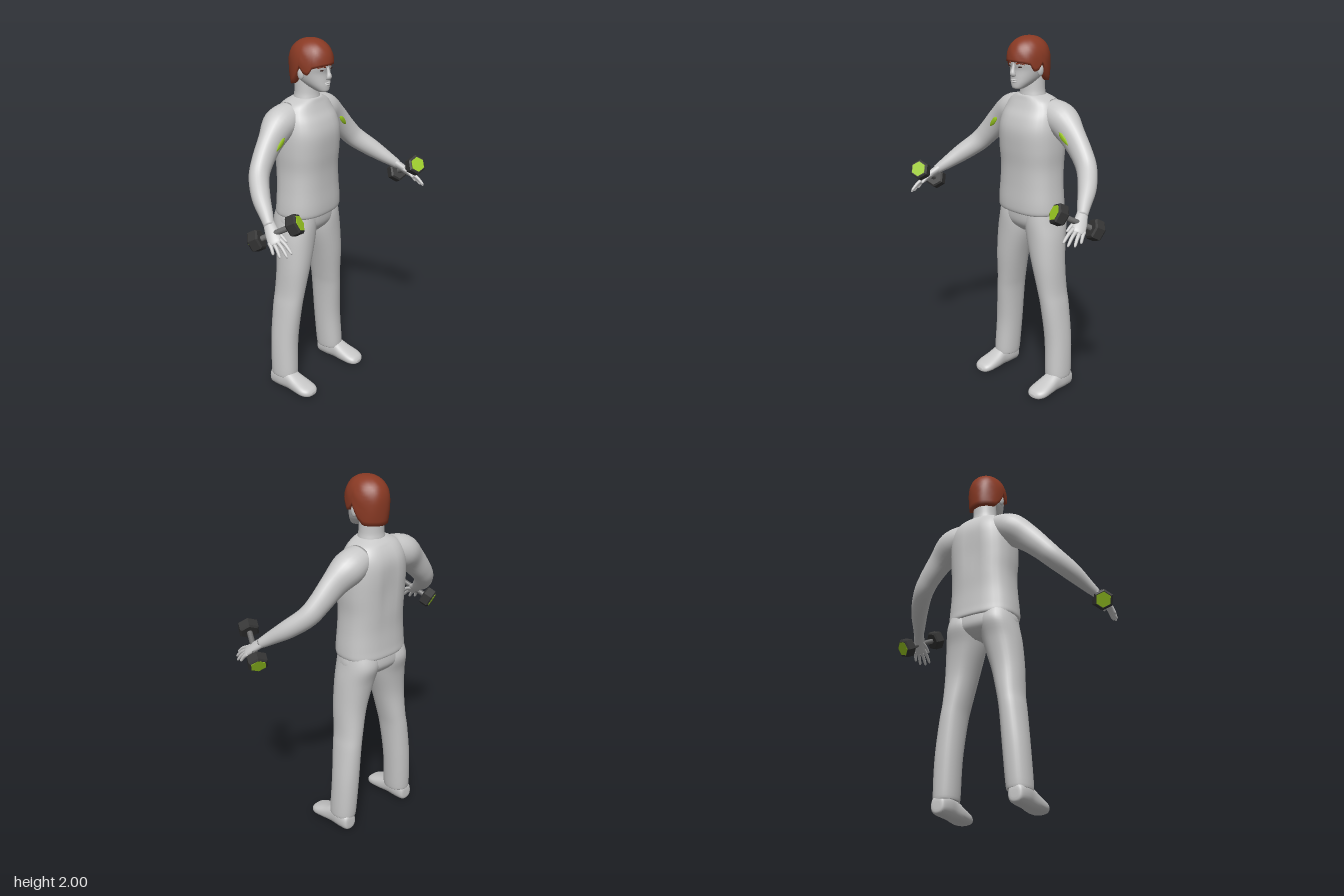
import * as THREE from 'three';

const V = (x, y, z) => new THREE.Vector3(x, y, z);
const paint = (name, color) => {
  const m = new THREE.MeshStandardMaterial({ color });
  m.name = name;
  return m;
};

// Catmull-Rom interpolation of every column in a table of keys
function smooth(keys, steps = 5) {
  const out = [], last = keys.length - 1;
  for (let i = 0; i < last; i++) {
    for (let s = 0; s < steps; s++) {
      const t = s / steps;
      out.push(keys[i].map((b, c) => {
        const a = keys[Math.max(i - 1, 0)][c], d = keys[i + 1][c], e = keys[Math.min(i + 2, last)][c];
        return b + 0.5 * t * (d - a + t * (2 * a - 5 * b + 4 * d - e + t * (3 * (b - d) + e - a)));
      }));
    }
  }
  out.push(keys[last]);
  return out;
}

// Superellipse ring around c with half axes u and v
function ring(c, u, v, power = 2, n = 32) {
  const curve = (w) => Math.sign(w) * Math.pow(Math.abs(w), 2 / power);
  return Array.from({ length: n }, (_, j) => {
    const a = (j / n) * Math.PI * 2;
    return c.clone().addScaledVector(u, curve(Math.cos(a))).addScaledVector(v, curve(Math.sin(a)));
  });
}

// Closed skin over a list of rings
function loft(rings) {
  const n = rings[0].length, m = rings.length, pts = rings.flat(), idx = [];
  for (let i = 0; i < m - 1; i++) {
    for (let j = 0; j < n; j++) {
      const a = i * n + j, b = i * n + ((j + 1) % n);
      idx.push(a, b, b + n, a, b + n, a + n);
    }
  }
  const mid = (r) => r.reduce((s, p) => s.add(p), V(0, 0, 0)).divideScalar(n);
  pts.push(mid(rings[0]), mid(rings[m - 1]));
  for (let j = 0; j < n; j++) {
    const k = (j + 1) % n, top = (m - 1) * n;
    idx.push(m * n, k, j, m * n + 1, top + j, top + k);
  }
  const g = new THREE.BufferGeometry().setFromPoints(pts);
  g.setIndex(idx);
  g.computeVertexNormals();
  return g;
}

// Upright body from keys [y, inner x, outer x, front z, back z]
const upright = (keys, power) => loft(smooth(keys).map(([y, x0, x1, zf, zb]) =>
  ring(V((x0 + x1) / 2, y, (zf + zb) / 2), V(0, 0, (zf - zb) / 2), V((x1 - x0) / 2, 0, 0), power)));
const centred = (keys, power) => upright(keys.map(([y, r, zf, zb]) => [y, -r, r, zf, zb]), power);

// Limb along keys [x, y, z, radius along up, other radius]
function limb(keys, up = V(0.7, 0.7, 0), n = 24) {
  const k = smooth(keys), p = k.map((q) => V(q[0], q[1], q[2]));
  return loft(k.map((q, i) => {
    const t = p[Math.min(i + 1, p.length - 1)].clone().sub(p[Math.max(i - 1, 0)]).normalize();
    const u = up.clone().addScaledVector(t, -up.dot(t)).normalize();
    const v = t.clone().cross(u);
    return ring(p[i], u.multiplyScalar(q[3]), v.multiplyScalar(q[4]), 2, n);
  }));
}

function mirrored(geo) {
  const g = geo.clone().scale(-1, 1, 1);
  const idx = g.index ? Array.from(g.index.array) : Array.from({ length: g.attributes.position.count }, (_, i) => i);
  for (let i = 0; i < idx.length; i += 3) [idx[i], idx[i + 1]] = [idx[i + 1], idx[i]];
  g.setIndex(idx);
  return g;
}

// Hair cap whose lower edge follows a hairline
function hairCap() {
  const line = [[-1, 1.76], [-0.5, 1.765], [-0.25, 1.8], [0, 1.865], [0.22, 1.83], [0.42, 1.825], [0.55, 1.86], [0.8, 1.87], [1, 1.875]];
  const edge = (c) => {
    const i = Math.max(1, line.findIndex((l) => l[0] >= c - 1e-6));
    const [a, b] = [line[i - 1], line[i]];
    return a[1] + (b[1] - a[1]) * (c - a[0]) / (b[0] - a[0]);
  };
  const n = 64, rings = [];
  for (let i = -1; i <= 16; i++) {
    const f = Math.sin((Math.max(i, 0) / 16) * Math.PI / 2);
    rings.push(Array.from({ length: n }, (_, j) => {
      const a = (j / n) * Math.PI * 2, c = Math.cos(a), s = Math.sin(a);
      const y = edge(c) + (1.999 - edge(c)) * f, h = (y - 1.865) / 0.135;
      let q = h > 0 ? Math.pow(Math.max(0, 1 - Math.pow(h, 2.4)), 1 / 2.2) : 1 - Math.pow((1.865 - y) * 2.6, 2);
      q *= i < 0 ? 0.82 : 1 + 0.012 * Math.sin(a * 9 + y * 40) * Math.sin(y * 60 + a * 2);
      return V(0.106 * s * q, y, -0.098 + 0.127 * c * q);
    }));
  }
  return loft(rings);
}

export function createModel() {
  const model = new THREE.Group();
  const grey = paint('light grey', 0xc8c8c8), brown = paint('auburn hair', 0x8a3a24);
  const dark = paint('dark rubber', 0x343434), green = paint('lime green', 0x9ccc22);
  const eyeDark = paint('dark eye', 0x3a2622), steel = paint('grey steel', 0x6a6a6a);
  const add = (name, geo, mat) => {
    const m = new THREE.Mesh(geo, mat);
    m.name = name;
    model.add(m);
  };
  const pair = (name, geo, mat) => {
    add('left' + name, geo, mat);
    add('right' + name, mirrored(geo), mat);
  };
  const blob = (x, y, z, a, b, c) => new THREE.SphereGeometry(1, 20, 14).scale(a, b, c).translate(x, y, z);

  // Sleeveless top with a shallow groove down the spine
  const top = centred([
    [1.04, 0.17, -0.01, -0.25], [1.05, 0.195, 0.01, -0.268], [1.1, 0.196, 0.014, -0.266],
    [1.2, 0.187, 0.01, -0.264], [1.3, 0.182, 0.01, -0.27], [1.4, 0.188, 0.018, -0.276],
    [1.5, 0.188, 0.02, -0.282], [1.57, 0.178, 0.002, -0.28], [1.62, 0.162, -0.026, -0.265],
    [1.66, 0.135, -0.045, -0.238], [1.685, 0.085, -0.055, -0.205], [1.69, 0.07, -0.065, -0.195]], 2.5);
  const pos = top.attributes.position;
  for (let i = 0; i < pos.count; i++) {
    const [x, y, z] = [pos.getX(i), pos.getY(i), pos.getZ(i)];
    if (z < -0.18 && y < 1.66) pos.setZ(i, z + 0.014 * Math.exp(-((x / 0.035) ** 2) - ((y - 1.45) / 0.17) ** 2));
  }
  top.computeVertexNormals();
  add('sleevelessTop', top, grey);

  // Trousers and shoes
  add('hips', centred([[0.93, 0.04, -0.06, -0.2], [0.96, 0.15, -0.03, -0.24], [1.0, 0.197, -0.014, -0.262], [1.07, 0.188, -0.01, -0.258]], 2.3), grey);
  pair('TrouserLeg', upright([
    [0.09, 0.155, 0.268, -0.068, -0.208], [0.1, 0.147, 0.277, -0.06, -0.217], [0.3, 0.132, 0.268, -0.066, -0.226],
    [0.5, 0.113, 0.246, -0.05, -0.226], [0.6, 0.095, 0.232, -0.04, -0.222], [0.75, 0.058, 0.226, -0.024, -0.219],
    [0.9, 0.014, 0.216, -0.017, -0.238], [1.0, 0, 0.2, -0.014, -0.265], [1.07, 0, 0.188, -0.02, -0.25]], 2.2), grey);
  pair('Shoe', loft(smooth([
    [-0.215, 0.222, 0.02, 0.03, 0.07], [-0.205, 0.222, 0.04, 0.006, 0.1], [-0.15, 0.222, 0.05, 0.002, 0.12],
    [-0.09, 0.222, 0.05, 0.002, 0.115], [-0.03, 0.222, 0.057, 0.001, 0.088], [0.03, 0.224, 0.06, 0.001, 0.065],
    [0.065, 0.222, 0.046, 0.004, 0.05], [0.08, 0.22, 0.02, 0.014, 0.032]]).map(([z, x, w, y0, y1]) =>
    ring(V(x, (y0 + y1) / 2, z), V(w, 0, 0), V(0, (y1 - y0) / 2, 0), 2.4))), grey);

  // Neck and head
  add('neck', centred([[1.62, 0.08, -0.055, -0.2], [1.68, 0.075, -0.06, -0.2], [1.72, 0.068, -0.066, -0.195], [1.8, 0.066, -0.07, -0.195]]), grey);
  add('head', centred([
    [1.728, 0.02, -0.004, -0.04], [1.735, 0.034, 0.008, -0.065], [1.76, 0.056, 0.01, -0.12], [1.79, 0.073, 0.008, -0.17],
    [1.83, 0.085, 0.006, -0.2], [1.87, 0.09, 0.014, -0.21], [1.92, 0.09, 0.005, -0.21], [1.97, 0.06, -0.04, -0.16], [1.985, 0.02, -0.08, -0.12]], 2.2), grey);
  add('nose', limb([[0, 1.862, 0.008, 0.006, 0.008], [0, 1.835, 0.014, 0.01, 0.01], [0, 1.812, 0.018, 0.014, 0.016], [0, 1.8, 0.01, 0.01, 0.015]], V(0, 0, 1), 16), grey);
  add('upperLip', blob(0, 1.777, 0.008, 0.024, 0.005, 0.008), grey);
  add('lowerLip', blob(0, 1.767, 0.008, 0.02, 0.006, 0.008), grey);
  add('hair', hairCap(), brown);
  pair('Ear', blob(0.09, 1.828, -0.098, 0.012, 0.032, 0.02).rotateX(0), grey);
  pair('Eye', blob(0.036, 1.848, 0, 0.015, 0.005, 0.006), eyeDark);
  pair('Eyebrow', limb([[0.018, 1.864, 0.01, 0.004, 0.004], [0.04, 1.869, 0.004, 0.005, 0.004], [0.06, 1.861, -0.012, 0.003, 0.003]], V(0, 1, 0), 10), brown);

  // Arm, worked muscle and open hand
  pair('Arm', limb([
    [0.1, 1.6, -0.16, 0.075, 0.08], [0.19, 1.565, -0.165, 0.09, 0.088], [0.28, 1.495, -0.152, 0.076, 0.062],
    [0.36, 1.415, -0.138, 0.064, 0.054], [0.42, 1.35, -0.112, 0.058, 0.052], [0.49, 1.28, -0.04, 0.05, 0.048],
    [0.54, 1.222, 0.035, 0.036, 0.036], [0.575, 1.183, 0.085, 0.025, 0.026]]), grey);
  pair('MusclePatch', limb([
    [0.238, 1.522, -0.091, 0.003, 0.003], [0.255, 1.507, -0.088, 0.013, 0.005],
    [0.28, 1.483, -0.09, 0.013, 0.005], [0.305, 1.46, -0.095, 0.003, 0.003]], V(0.7, 0.7, 0), 12), green);
  const across = V(0.63, -0.27, -0.72);
  pair('Palm', limb([
    [0.56, 1.2, 0.065, 0.027, 0.023], [0.59, 1.16, 0.115, 0.035, 0.02],
    [0.61, 1.13, 0.15, 0.036, 0.016], [0.616, 1.12, 0.162, 0.028, 0.01]], across), grey);
  const fingers = {
    IndexFinger: [0.592, 1.142, 0.165, 0.6, 1.085, 0.248], MiddleFinger: [0.605, 1.132, 0.158, 0.62, 1.07, 0.236],
    RingFinger: [0.617, 1.125, 0.145, 0.638, 1.065, 0.205], LittleFinger: [0.627, 1.123, 0.127, 0.645, 1.075, 0.167],
    Thumb: [0.572, 1.165, 0.115, 0.572, 1.125, 0.195]
  };
  for (const [name, [x, y, z, a, b, c]] of Object.entries(fingers)) {
    const at = (t, r) => [x + (a - x) * t, y + (b - y) * t + 0.008 * Math.sin(t * Math.PI), z + (c - z) * t, r, r];
    pair(name, limb([at(0, 0.011), at(0.5, 0.0095), at(0.9, 0.0075), at(1, 0.003)], across, 12), grey);
  }

  // Hexagonal dumbbells
  const near = V(0.545, 1.215, 0.222), far = V(0.628, 1.113, 0.045);
  const axis = near.clone().sub(far).normalize();
  const turn = new THREE.Quaternion().setFromUnitVectors(V(0, 1, 0), axis);
  const place = (geo, p) => {
    const g = geo.rotateY(Math.PI / 6).applyQuaternion(turn).translate(p.x, p.y, p.z).toNonIndexed();
    g.computeVertexNormals();
    return g;
  };
  const profile = [[0, -0.03], [0.047, -0.03], [0.057, -0.022], [0.057, 0.022], [0.047, 0.03], [0, 0.03]].map((p) => new THREE.Vector2(...p));
  for (const [name, p, s] of [['Front', near, 1], ['Rear', far, -1]]) {
    pair(name + 'Weight', place(new THREE.LatheGeometry(profile, 6), p), dark);
    pair(name + 'WeightCap', place(new THREE.CylinderGeometry(0.043, 0.043, 0.006, 6), p.clone().addScaledVector(axis, s * 0.029)), green);
  }
  pair('DumbbellHandle', place(new THREE.CylinderGeometry(0.015, 0.015, 0.2, 16), near.clone().lerp(far, 0.5)), steel);
  return model;
}
